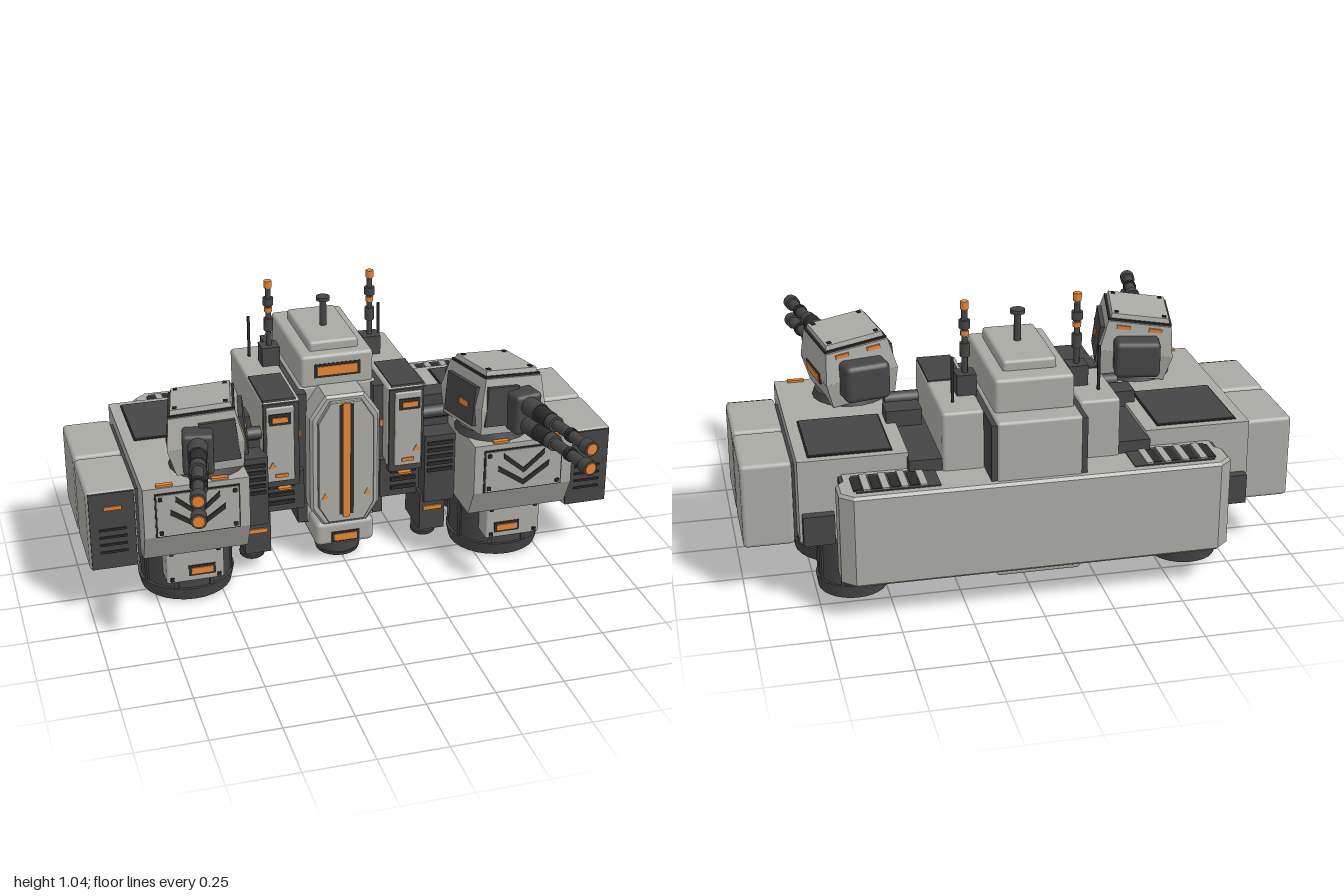
import * as THREE from 'three';
import { RoundedBoxGeometry } from 'three/addons/geometries/RoundedBoxGeometry.js';

const mat = (name, color) => Object.assign(new THREE.MeshStandardMaterial({ color }), { name });

export function createModel() {
  const light = mat('light armour', 0xa9a9a4), dark = mat('dark frame', 0x454545);
  const black = mat('black trim', 0x2b2b2b), orange = mat('orange accent', 0xe88430);
  const blue = mat('engine glow', 0x6599b8);
  const model = new THREE.Group();
  model.name = 'heavyGunship';

  // --- helpers ---
  const add = (parent, name, geo, m, x = 0, y = 0, z = 0) => {
    const mesh = new THREE.Mesh(geo, m);
    mesh.name = name;
    mesh.position.set(x, y, z);
    parent.add(mesh);
    return mesh;
  };
  // box from its minimum and maximum on each axis; s mirrors it in x; r rounds it
  const box = (parent, name, m, s, [x0, x1], [y0, y1], [z0, z1], r = 0) => {
    const w = x1 - x0, h = y1 - y0, d = z1 - z0;
    const geo = r ? new RoundedBoxGeometry(w, h, d, 2, r) : new THREE.BoxGeometry(w, h, d);
    return add(parent, name, geo, m, s * (x0 + x1) / 2, (y0 + y1) / 2, (z0 + z1) / 2);
  };
  // outline in x, y extruded towards +z
  const plate = (pts, depth, bevel = 0) => new THREE.ExtrudeGeometry(
    new THREE.Shape(pts.map(p => new THREE.Vector2(...p))),
    { depth, bevelEnabled: bevel > 0, bevelSize: bevel, bevelThickness: bevel, bevelSegments: 1 });
  // box whose top is narrower than its base
  const taper = (w, h, d, kx, kz) => {
    const g = new THREE.BoxGeometry(w, h, d), p = g.attributes.position;
    for (let i = 0; i < p.count; i++) if (p.getY(i) > 0) p.setXYZ(i, p.getX(i) * kx, p.getY(i), p.getZ(i) * kz);
    g.computeVertexNormals();
    return g;
  };
  const cyl = (rt, rb, h, n = 20) => new THREE.CylinderGeometry(rt, rb, h, n);
  const bolts = (parent, xs, ys, z) => {
    for (const x of xs) for (const y of ys)
      add(parent, 'bolt', new THREE.BoxGeometry(0.014, 0.014, 0.01), black, x, y, z);
  };
  const thruster = (name, x, z, r, y0, y1, ribs) => {
    const g = new THREE.Group();
    g.name = name;
    g.position.set(x, 0, z);
    const h = y1 - y0, lip = h * 0.2;
    add(g, 'engineBody', cyl(r * 0.94, r * 0.94, h - lip, 28), dark, 0, y0 + lip + (h - lip) / 2);
    add(g, 'engineLip', cyl(r, r * 0.94, lip, 28), dark, 0, y0 + lip / 2);
    add(g, 'engineGlow', cyl(r * 0.8, r * 0.8, 0.008, 28), blue, 0, y0 - 0.002);
    for (let i = 0; i < ribs; i++) {
      const a = (i + 0.5) / ribs * Math.PI * 2;
      add(g, 'engineRib', new THREE.BoxGeometry(0.016, h - lip, 0.012), dark,
        Math.sin(a) * r * 0.94, y0 + lip + (h - lip) / 2, Math.cos(a) * r * 0.94).rotation.y = a;
    }
    model.add(g);
  };

  // --- central hull ---
  box(model, 'hullCore', light, 1, [-0.15, 0.15], [0.13, 0.71], [-0.66, -0.11], 0.012);
  box(model, 'cabin', light, 1, [-0.14, 0.14], [0.70, 0.83], [-0.575, -0.11], 0.014);
  box(model, 'cabinDeck', light, 1, [-0.095, 0.095], [0.82, 0.867], [-0.5, -0.155], 0.012);
  box(model, 'cabinWindowFrame', black, 1, [-0.09, 0.09], [0.74, 0.795], [-0.112, -0.108]);
  box(model, 'cabinWindow', orange, 1, [-0.078, 0.078], [0.75, 0.785], [-0.11, -0.105]);
  const column = [[-0.08, 0.18], [0.08, 0.18], [0.125, 0.25], [0.125, 0.62], [0.07, 0.7], [-0.07, 0.7], [-0.125, 0.62], [-0.125, 0.25]];
  add(model, 'frontColumn', plate(column, 0.14, 0.01), light, 0, 0, -0.15);
  add(model, 'frontColumnPlate', plate(column.map(([x, y]) => [x * 0.84, 0.44 + (y - 0.44) * 0.95]), 0.014, 0.003), light, 0, 0, 0);
  box(model, 'columnGroove', black, 1, [-0.028, 0.028], [0.22, 0.68], [0.012, 0.019]);
  box(model, 'columnLight', orange, 1, [-0.013, 0.013], [0.21, 0.685], [0.015, 0.022]);
  box(model, 'foot', light, 1, [-0.115, 0.115], [0.08, 0.18], [-0.26, 0.0], 0.02);
  box(model, 'footWindowFrame', black, 1, [-0.055, 0.055], [0.095, 0.138], [-0.002, 0.004]);
  box(model, 'footWindow', orange, 1, [-0.044, 0.044], [0.102, 0.13], [0, 0.007]);
  thruster('centreThruster', 0, -0.12, 0.088, 0.01, 0.085, 0);

  // mast on the cabin
  add(model, 'mast', cyl(0.013, 0.013, 0.11, 10), dark, 0, 0.92, -0.31);
  add(model, 'mastCap', cyl(0.027, 0.027, 0.014, 12), dark, 0, 0.975, -0.31);

  // --- rear beam ---
  const beam = plate([[-0.64, 0.675], [0.64, 0.675], [0.68, 0.64], [0.68, 0.565], [0.65, 0.535], [-0.65, 0.535], [-0.68, 0.565], [-0.68, 0.64]], 0.32, 0.01);
  add(model, 'rearBeam', beam.rotateX(-Math.PI / 2), light, 0, 0.165, 0);
  box(model, 'beamCore', dark, 1, [-0.672, 0.672], [0.16, 0.488], [-0.56, -0.47]);
  box(model, 'beamDeck', light, 1, [-0.66, 0.66], [0.485, 0.495], [-0.56, -0.48]);

  for (const s of [1, -1]) {
    // hull flanks
    box(model, 'hullSidePlate', dark, s, [0.13, 0.168], [0.16, 0.7], [-0.655, -0.07]);
    for (const y of [0.25, 0.325, 0.53]) box(model, 'flankMarker', orange, s, [0.154, 0.166], [y, y + 0.026], [-0.072, -0.064]);
    add(model, 'columnTriangle', plate([[-0.014, 0], [0.014, 0], [0, 0.025]], 0.006), orange, s * 0.082, 0.295, 0.013);

    // beam grille
    box(model, 'grilleBed', dark, s, [0.34, 0.63], [0.493, 0.499], [-0.65, -0.515]);
    for (let i = 0; i < 4; i++) {
      box(model, 'grilleBar', light, s, [0.385 + i * 0.065, 0.41 + i * 0.065], [0.496, 0.505], [-0.645, -0.52]);
      box(model, 'grilleSlot', black, s, [0.412 + i * 0.065, 0.443 + i * 0.065], [0.496, 0.501], [-0.635, -0.53]);
    }

    // boom beside the hull
    box(model, 'boom', light, s, [0.168, 0.315], [0.38, 0.71], [-0.54, -0.02], 0.012);
    box(model, 'boomTopPlate', dark, s, [0.185, 0.31], [0.706, 0.715], [-0.25, -0.02]);
    box(model, 'boomNose', dark, s, [0.175, 0.31], [0.36, 0.7], [-0.06, -0.01]);
    box(model, 'boomFacePlate', light, s, [0.195, 0.3], [0.385, 0.69], [-0.015, 0], 0.005);
    box(model, 'boomWindowFrame', black, s, [0.208, 0.292], [0.62, 0.665], [-0.002, 0.004]);
    box(model, 'boomWindow', orange, s, [0.222, 0.28], [0.632, 0.652], [0, 0.008]);
    box(model, 'boomSlot', orange, s, [0.222, 0.27], [0.405, 0.418], [0, 0.006]);
    add(model, 'boomTriangle', plate([[-0.014, 0], [0.014, 0], [0, 0.025]], 0.006), orange, s * 0.28, 0.445, -0.002);
    box(model, 'boomUnderside', dark, s, [0.15, 0.32], [0.24, 0.4], [-0.5, -0.04]);
    for (let i = 0; i < 3; i++) box(model, 'boomVent', black, s, [0.19, 0.29], [0.27 + i * 0.035, 0.285 + i * 0.035], [-0.042, -0.03]);
    box(model, 'boomToe', orange, s, [0.21, 0.26], [0.352, 0.36], [-0.02, 0.01]);

    // antennas
    const ant = new THREE.Group();
    ant.name = 'antenna';
    ant.position.set(s * 0.2, 0, -0.365);
    add(ant, 'antennaBase', new THREE.BoxGeometry(0.07, 0.08, 0.07), dark, 0, 0.745);
    add(ant, 'antennaRod', cyl(0.011, 0.011, 0.27, 8), dark, 0, 0.9);
    for (const [y, h, r, m] of [[0.87, 0.05, 0.018, dark], [0.963, 0.03, 0.02, dark], [0.93, 0.018, 0.015, orange], [1.032, 0.028, 0.015, orange]])
      add(ant, m === orange ? 'antennaLight' : 'antennaCollar', cyl(r, r, h, 10), m, 0, y);
    model.add(ant);
    add(model, 'whipAntenna', cyl(0.006, 0.006, 0.17, 6), black, s * 0.26, 0.79, -0.445);

    // connecting machinery between boom and pod
    box(model, 'innerFrame', dark, s, [0.31, 0.43], [0.25, 0.54], [-0.53, -0.06]);
    box(model, 'grilleBlock', dark, s, [0.305, 0.425], [0.23, 0.51], [-0.1, 0.03]);
    for (let i = 0; i < 5; i++) box(model, 'blockSlat', black, s, [0.315, 0.415], [0.36 + i * 0.028, 0.374 + i * 0.028], [0.03, 0.036]);
    box(model, 'turretLink', dark, s, [0.33, 0.46], [0.54, 0.6], [-0.23, -0.14]);
    add(model, 'linkPipe', cyl(0.025, 0.025, 0.14, 10), dark, s * 0.37, 0.575, -0.05).rotation.z = Math.PI / 2;
    box(model, 'smallNozzleBox', dark, s, [0.295, 0.395], [0.1, 0.26], [-0.17, 0.01]);
    box(model, 'nozzleMarker', orange, s, [0.308, 0.382], [0.187, 0.204], [0.01, 0.017]);
    thruster('smallThruster', s * 0.345, -0.1, 0.05, 0.04, 0.105, 0);

    // main pod with sloped lower nose
    const pod = plate([[0.25, 0.555], [0.25, 0.36], [0.195, 0.25], [-0.49, 0.25], [-0.49, 0.555]], 0.385);
    add(model, 'mainPod', pod.translate(0, 0, -0.1925).rotateY(-Math.PI / 2), light, s * 0.6175, 0, 0);
    const px = s * 0.615;
    const face = new THREE.Group();
    face.name = 'podFace';
    face.position.set(px, 0, 0.25);
    box(face, 'facePanelEdge', black, 1, [-0.154, 0.154], [0.361, 0.534], [0, 0.004]);
    box(face, 'facePanel', light, 1, [-0.148, 0.148], [0.366, 0.529], [0, 0.008]);
    bolts(face, [-0.135, 0.135], [0.38, 0.515], 0.009);
    for (const [y, w] of [[0.445, 0.08], [0.395, 0.1]])
      add(face, 'chevron', plate([[-w, y + 0.075], [-w, y + 0.053], [0, y - 0.015], [w, y + 0.053], [w, y + 0.075], [0, y + 0.006]], 0.004), black, 0, 0, 0.008);
    model.add(face);
    box(model, 'podTopEdge', black, s, [0.475, 0.77], [0.553, 0.558], [-0.46, -0.145]);
    box(model, 'podTopPanel', dark, s, [0.48, 0.765], [0.555, 0.562], [-0.455, -0.15]);
    box(model, 'podRearBlock', dark, s, [0.69, 0.8], [0.25, 0.36], [-0.525, -0.48]);
    for (const x of [0.5, 0.7]) box(model, 'podTopMarker', orange, s, [x, x + 0.06], [0.555, 0.563], [0.225, 0.243]);

    // outer side pods
    for (const [z0, z1] of [[-0.12, 0.165], [-0.42, -0.135]])
      box(model, 'sidePod', light, s, [0.82, 1.0], [0.21, 0.525], [z0, z1], 0.015);
    box(model, 'sidePodCore', dark, s, [0.8, 0.97], [0.23, 0.51], [-0.4, 0.14]);
    box(model, 'sidePodFace', dark, s, [0.828, 0.992], [0.216, 0.519], [0.162, 0.17]);
    box(model, 'sidePodMarker', orange, s, [0.875, 0.94], [0.453, 0.467], [0.168, 0.176]);
    for (let i = 0; i < 4; i++) box(model, 'sidePodVent', black, s, [0.86, 0.96], [0.28 + i * 0.03, 0.288 + i * 0.03], [0.168, 0.175]);

    // lift engines
    thruster('frontThruster', px, -0.045, 0.182, 0.01, 0.26, 8);
    thruster('rearThruster', px, -0.365, 0.132, 0.01, 0.26, 8);
    box(model, 'engineBox', light, s, [0.51, 0.725], [0.112, 0.255], [0.07, 0.168], 0.008);
    box(model, 'engineWindowFrame', black, s, [0.543, 0.643], [0.137, 0.179], [0.166, 0.172]);
    box(model, 'engineWindow', orange, s, [0.553, 0.633], [0.146, 0.17], [0.168, 0.176]);
    bolts(model, [s * 0.53, s * 0.705], [0.13, 0.238], 0.17);

    // twin-barrel turret, turned slightly outwards
    const t = new THREE.Group();
    t.name = 'turret';
    t.position.set(s * 0.545, 0, 0.09);
    t.rotation.y = s * 0.2;
    add(t, 'turretRing', cyl(0.13, 0.14, 0.03, 20), dark, 0, 0.568);
    const body = new THREE.Group();
    body.name = 'turretBody';
    body.position.y = 0.685;
    body.rotation.set(-0.06, 0, -s * 0.12);
    add(body, 'lowerArmour', taper(0.24, 0.1, 0.27, 1.15, 1.1), light, 0, -0.055);
    add(body, 'upperArmour', taper(0.276, 0.115, 0.297, 0.86, 0.86), light, 0, 0.05);
    add(body, 'lidEdge', new THREE.BoxGeometry(0.238, 0.01, 0.238), black, 0, 0.11);
    add(body, 'lid', taper(0.225, 0.022, 0.225, 0.95, 0.95), light, 0, 0.121);
    for (const x of [-0.09, 0.09]) for (const z of [-0.09, 0.09])
      add(body, 'lidBolt', new THREE.BoxGeometry(0.015, 0.008, 0.015), black, x, 0.132, z);
    // outer vent, dark inner panel with its own vent
    add(body, 'sideVentFrame', new THREE.BoxGeometry(0.012, 0.042, 0.145), black, s * 0.134, -0.01);
    add(body, 'sideVent', new THREE.BoxGeometry(0.012, 0.032, 0.13), orange, s * 0.137, -0.01);
    add(body, 'innerPanel', new THREE.BoxGeometry(0.02, 0.15, 0.2), dark, -s * 0.132, -0.005);
    add(body, 'innerVent', new THREE.BoxGeometry(0.008, 0.022, 0.06), orange, -s * 0.141, -0.01, 0.03);
    for (const k of [1, -1])
      add(body, 'rearMarker', new THREE.BoxGeometry(0.05, 0.014, 0.01), orange, k * 0.06, 0.09, -0.132);
    add(body, 'frontPlate', new THREE.BoxGeometry(0.13, 0.15, 0.03), dark, -s * 0.05, 0.005, 0.134);
    t.add(body);
    box(t, 'turretRear', dark, 1, [-0.085, 0.085], [0.6, 0.74], [-0.22, -0.12], 0.02);
    box(t, 'mantlet', dark, 1, [s * 0.028 - 0.055, s * 0.028 + 0.055], [0.605, 0.76], [0.12, 0.21], 0.015);
    for (const y of [0.642, 0.717]) {
      // radius, start and end of each section along the barrel
      for (const [r, a, b, m] of [[0.036, 0.2, 0.28, dark], [0.032, 0.28, 0.35, black], [0.03, 0.33, 0.385, dark],
        [0.021, 0.38, 0.6, dark], [0.026, 0.47, 0.49, black], [0.028, 0.565, 0.605, dark], [0.021, 0.605, 0.609, orange]])
        add(t, m === orange ? 'muzzle' : 'barrel', cyl(r, r, b - a, 14), m, s * 0.028, y, (a + b) / 2).rotation.x = Math.PI / 2;
    }
    model.add(t);
  }
  return model;
}
